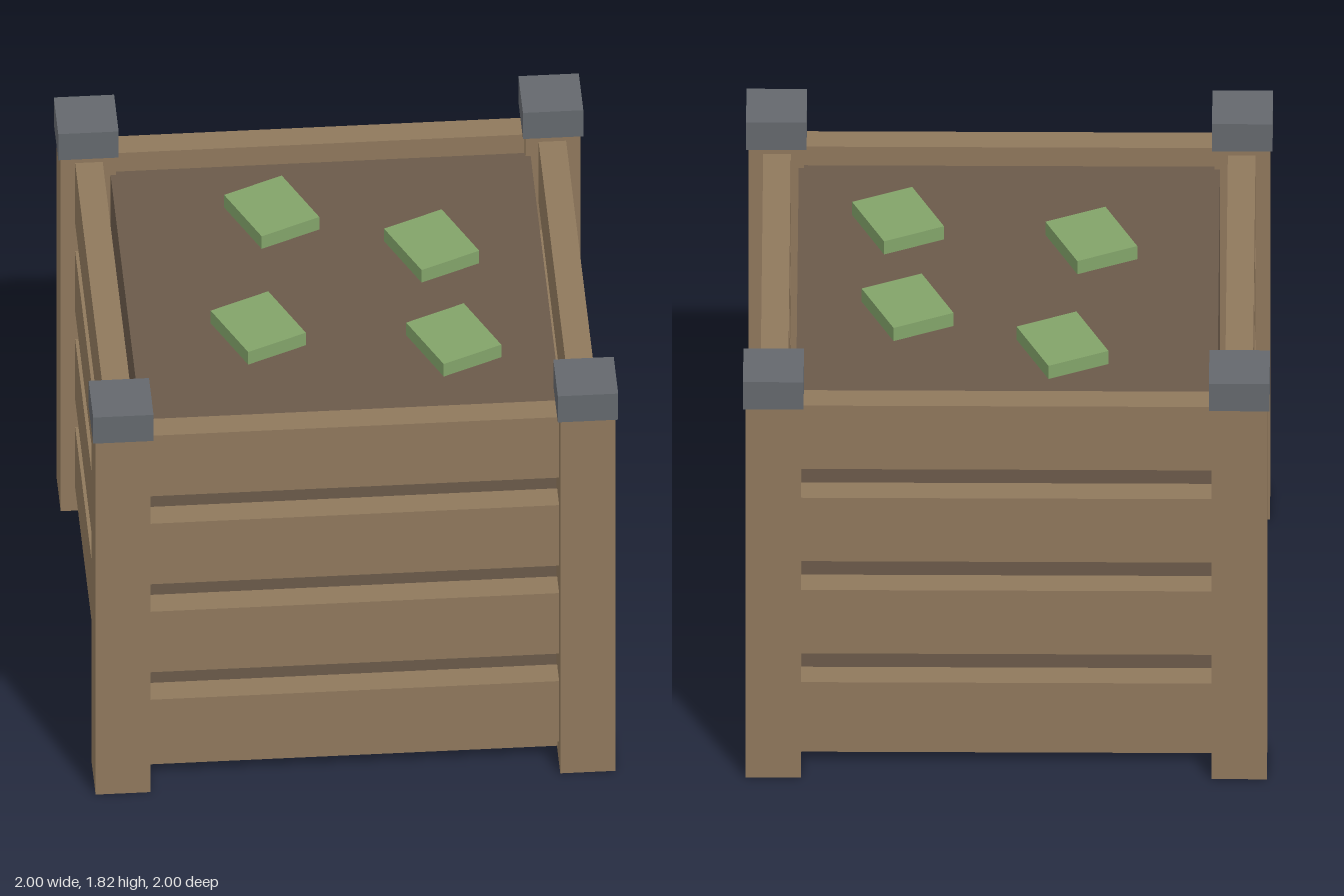
import * as THREE from 'three';

const wood = new THREE.MeshStandardMaterial({ color: 0x8f785c, flatShading: true });
const earth = new THREE.MeshStandardMaterial({ color: 0x6b5a4a, flatShading: true });
const metal = new THREE.MeshStandardMaterial({ color: 0x64686d, flatShading: true });
const leaf = new THREE.MeshStandardMaterial({ color: 0x82a369, flatShading: true });

// Box standing on height y, centred on x and z
function block(parent, name, material, [w, h, d], [x, y, z]) {
  const mesh = new THREE.Mesh(new THREE.BoxGeometry(w, h, d), material);
  mesh.name = name;
  mesh.position.set(x, y + h / 2, z);
  parent.add(mesh);
  return mesh;
}

export function createModel() {
  const planter = new THREE.Group();
  planter.name = 'planterBox';

  // Floor panel and the soil filling
  block(planter, 'floor', wood, [1.7, 0.085, 1.7], [0, 0.025, 0]);
  block(planter, 'soil', earth, [1.6, 1.49, 1.6], [0, 0.11, 0]);

  // Corner posts with overhanging caps
  for (const x of [-1, 1]) {
    for (const z of [-1, 1]) {
      block(planter, 'cornerPost', wood, [0.21, 1.69, 0.21], [x * 0.885, 0, z * 0.885]);
      block(planter, 'postCap', metal, [0.23, 0.125, 0.23], [x * 0.885, 1.69, z * 0.885]);
    }
  }

  // Four spaced slats on each of the four sides
  for (let side = 0; side < 4; side++) {
    const wall = new THREE.Group();
    wall.name = 'slatWall';
    wall.rotation.y = side * Math.PI / 2;
    for (let i = 0; i < 4; i++) {
      block(wall, 'slat', wood, [1.57, 0.29, 0.105], [0, 0.11 + i * 0.4217, 0.8825]);
    }
    planter.add(wall);
  }

  // Turned leafy tiles lying on the soil
  for (const [x, z] of [[-0.21, -0.465], [0.38, -0.21], [-0.315, 0.25], [0.42, 0.38]]) {
    block(planter, 'sprout', leaf, [0.25, 0.06, 0.295], [x, 1.6, z]).rotation.y = 0.43;
  }

  return planter;
}
